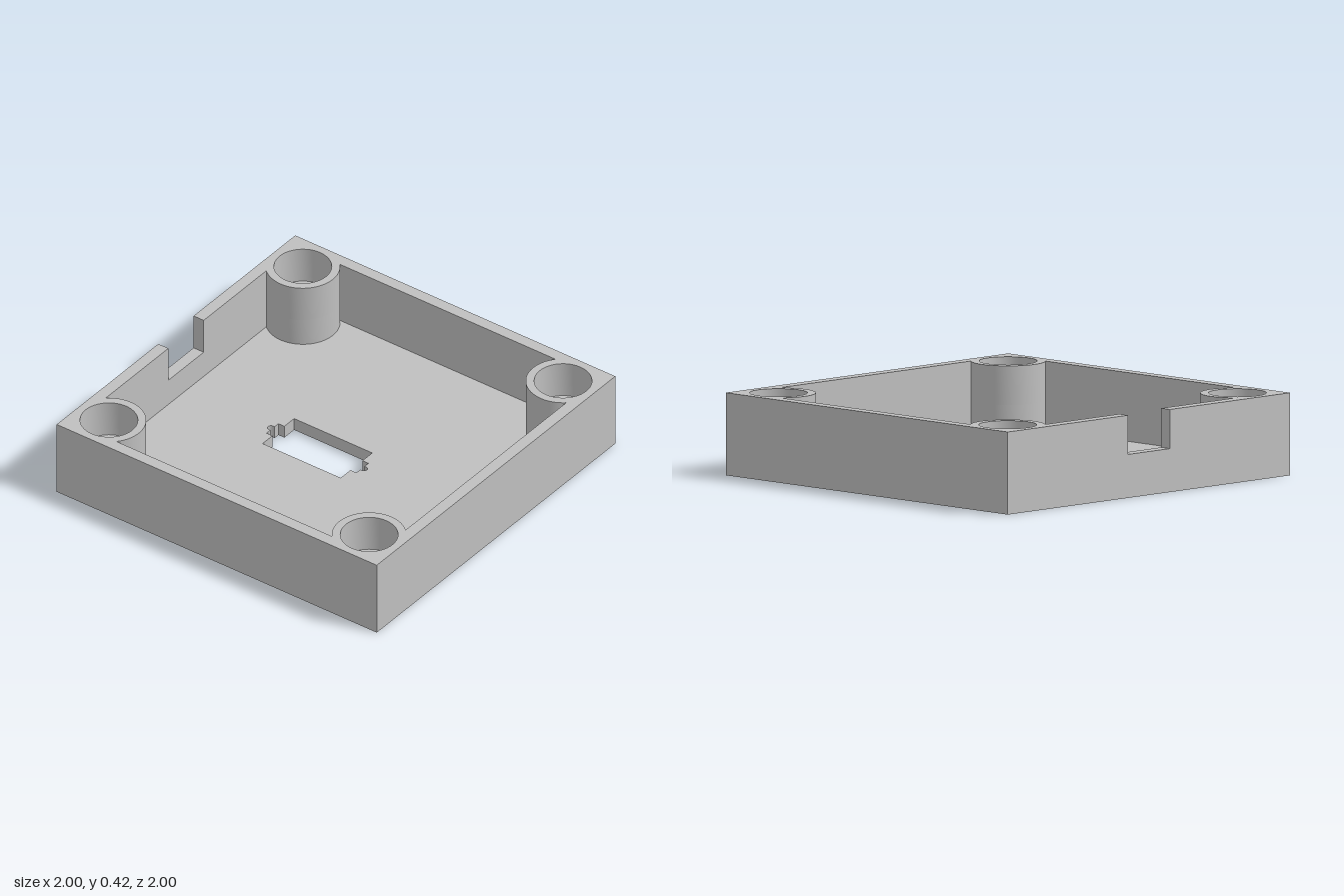
import * as THREE from 'three';
import { toCreasedNormals } from 'three/addons/utils/BufferGeometryUtils.js';

const HEIGHT = 0.418, FLOOR = 0.07, NOTCH_Y = 0.22;
const INNER = 0.937, NOTCH = 0.148;
const POST = 0.813, POST_R = 0.187, SCREW_R = 0.092, BORE_R = 0.145;

const v = (x, y) => new THREE.Vector2(x, y);
const square = () => [v(-1, -1), v(1, -1), v(1, 1), v(-1, 1)];

// Cavity outline, counter-clockwise from the left side, curving inwards around each corner post
function cavityPoints() {
  const start = -Math.acos((INNER - POST) / POST_R);
  const end = -1.5 * Math.PI - start;
  const points = [];
  for (const turn of [2, 3, 0, 1]) {
    for (let i = 0; i <= 32; i++) {
      const a = start + (end - start) * i / 32;
      points.push(v(POST + POST_R * Math.cos(a), POST + POST_R * Math.sin(a))
        .rotateAround(v(0, 0), turn * Math.PI / 2));
    }
  }
  return points;
}

// Four round holes through the corner posts
function postHoles(radius) {
  return [[1, 1], [-1, 1], [-1, -1], [1, -1]].map(([sx, sy]) =>
    new THREE.Path().absarc(sx * POST, sy * POST, radius, 0, Math.PI * 2));
}

// Connector window: a rectangle with a stepped, round-tipped slot at both ends
function windowPath() {
  const half = [v(0.244, -0.132), v(0.244, -0.05), v(0.281, -0.05), v(0.281, -0.018)];
  for (let i = 0; i <= 12; i++) {
    const a = -Math.PI / 2 + Math.PI * i / 12;
    half.push(v(0.29 + 0.018 * Math.cos(a), 0.018 * Math.sin(a)));
  }
  half.push(v(0.281, 0.018), v(0.281, 0.05), v(0.244, 0.05), v(0.244, 0.132));
  const all = [...half, ...half.map(p => v(-p.x, -p.y))];
  return new THREE.Path(all.map(p => v(p.x - 0.116, p.y)));
}

// Upright layer between two heights
function layer(name, outline, holes, y0, y1, material) {
  const shape = new THREE.Shape(outline);
  shape.holes.push(...holes);
  const extruded = new THREE.ExtrudeGeometry(shape, { depth: y1 - y0, bevelEnabled: false, curveSegments: 24 });
  extruded.rotateX(-Math.PI / 2).translate(0, y0, 0);
  const mesh = new THREE.Mesh(toCreasedNormals(extruded, 0.5), material);
  mesh.name = name;
  return mesh;
}

export function createModel() {
  const group = new THREE.Group();
  group.name = 'enclosureHalf';
  const grey = new THREE.MeshStandardMaterial({ color: 0xbfbfbf });
  grey.name = 'grey plastic';
  const cavity = cavityPoints();

  // Floor with screw holes and connector window
  group.add(layer('floorPlate', square(), [...postHoles(SCREW_R), windowPath()], 0, FLOOR, grey));

  // Closed wall ring with posts, up to the sill of the cable notch
  group.add(layer('lowerWallsAndPosts', square(),
    [new THREE.Path(cavity), ...postHoles(SCREW_R)], FLOOR, NOTCH_Y, grey));

  // Upper walls, opened by the notch, with wider counterbores in the posts
  const notched = [
    v(-1, -NOTCH), ...square(), v(-1, NOTCH), v(-INNER, NOTCH),
    ...cavity.slice().reverse(), v(-INNER, -NOTCH),
  ];
  group.add(layer('upperWallsAndPosts', notched, postHoles(BORE_R), NOTCH_Y, HEIGHT, grey));
  return group;
}
